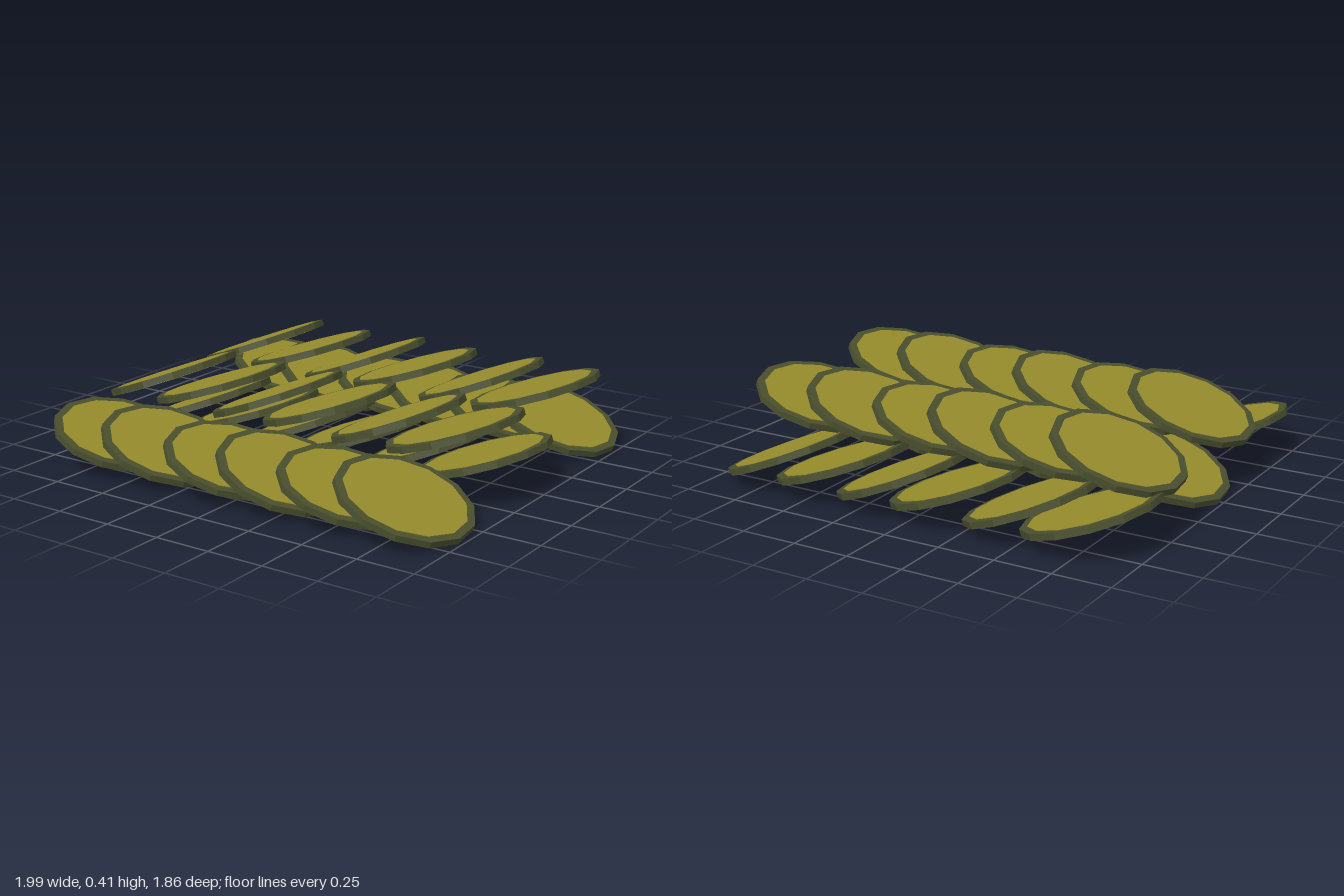
import * as THREE from 'three';

const olive = new THREE.MeshStandardMaterial({ color: 0x968c2c });
olive.name = 'olive face';
const darkRim = new THREE.MeshStandardMaterial({ color: 0x4a4f2e });
darkRim.name = 'dark olive rim';
olive.flatShading = darkRim.flatShading = true;

const SIDES = 13, RADIUS = 0.296, THICK = 0.028;
const rimGeo = new THREE.CylinderGeometry(RADIUS, RADIUS, THICK, SIDES);
const faceGeo = new THREE.CylinderGeometry(RADIUS - 0.034, RADIUS - 0.034, THICK + 0.005, SIDES);

// One round plate: dark rim with an olive face on both sides
function makeDisc(apexBack) {
  const disc = new THREE.Group();
  disc.name = 'disc';
  const rim = new THREE.Mesh(rimGeo, darkRim);
  rim.name = 'rim';
  const face = new THREE.Mesh(faceGeo, olive);
  face.name = 'face';
  disc.add(rim, face);
  disc.rotation.y = apexBack ? Math.PI : 0;
  disc.scale.x = 0.965;
  const tilted = new THREE.Group();
  tilted.name = 'tiltedDisc';
  tilted.add(disc);
  return tilted;
}

// Six leaning plates, alternately steep and shallow; dir = 1 rises to +x
const CENTRES = [-0.725, -0.46, -0.155, 0.113, 0.455, 0.722];
function makeRow({ name, y, z, dir, apexBack }) {
  const row = new THREE.Group();
  row.name = name;
  CENTRES.forEach((x, i) => {
    const disc = makeDisc(apexBack);
    disc.position.x = x * dir;
    disc.rotation.z = dir * THREE.MathUtils.degToRad(i % 2 ? 18 : 21.3);
    row.add(disc);
  });
  row.position.set(0, y, z);
  return row;
}

export function createModel() {
  const model = new THREE.Group();
  model.name = 'stackedDiscs';
  const low = 0.12, high = 0.302;
  [
    { name: 'frontLowerRow', y: low, z: 0.63, dir: -1, apexBack: false },
    { name: 'middleLowerRow', y: low, z: 0.003, dir: 1, apexBack: true },
    { name: 'backLowerRow', y: low, z: -0.633, dir: -1, apexBack: true },
    { name: 'frontUpperRow', y: high, z: 0.255, dir: 1, apexBack: true },
    { name: 'backUpperRow', y: high, z: -0.42, dir: 1, apexBack: true },
  ].forEach((spec) => model.add(makeRow(spec)));
  return model;
}
